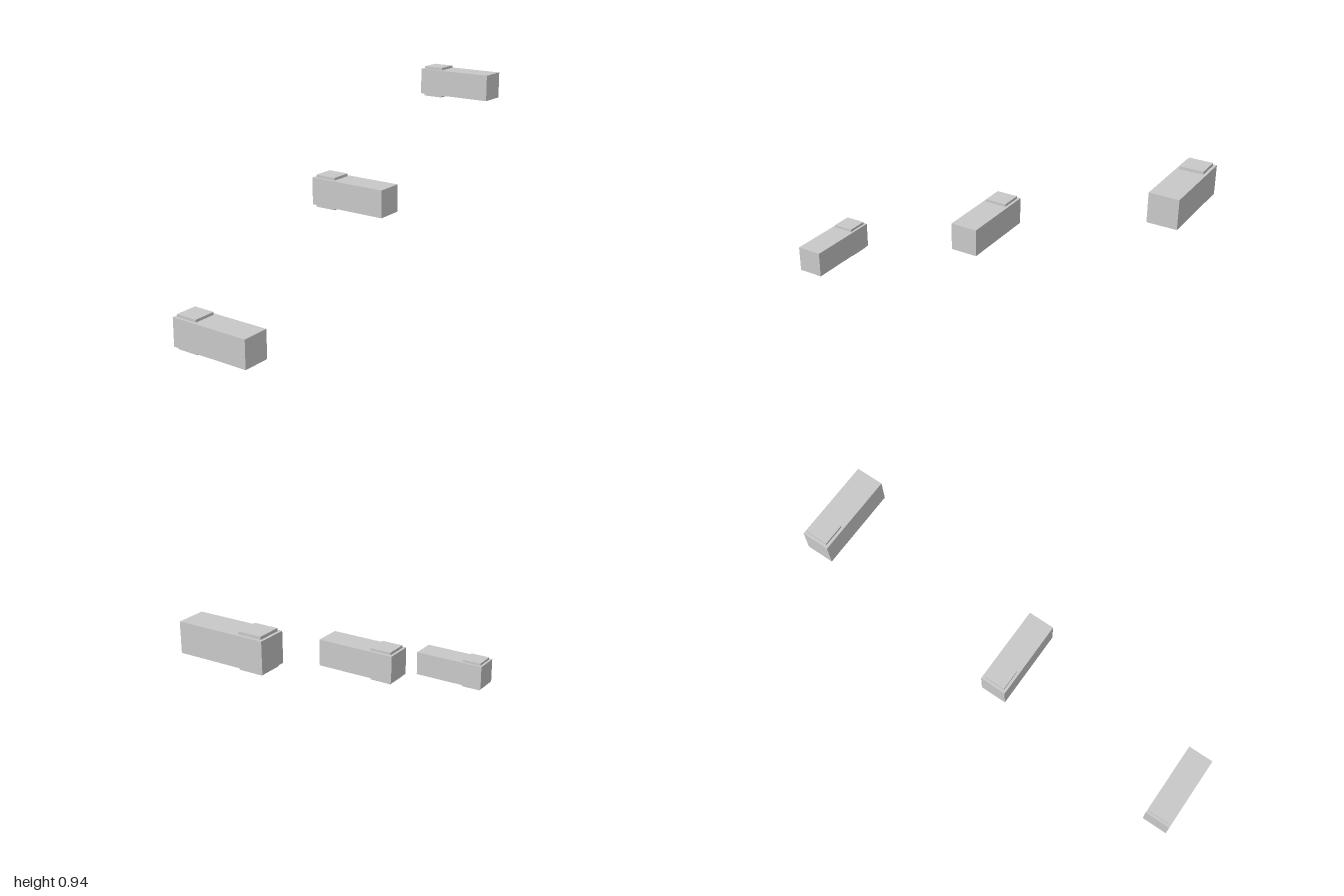
import * as THREE from 'three';

const material = new THREE.MeshStandardMaterial({ color: 0xcccccc, flatShading: true });

function box(name, w, h, d, x, y, z) {
  const mesh = new THREE.Mesh(new THREE.BoxGeometry(w, h, d), material);
  mesh.name = name;
  mesh.position.set(x, y, z);
  return mesh;
}

// One long block with a thin square pad above and below its rear end
function createBlock(name) {
  const block = new THREE.Group();
  block.name = name;
  const height = 0.13, padHeight = 0.0125;
  block.add(box('body', 0.13, height, 0.39, 0, 0, 0));
  for (const side of [1, -1]) {
    const y = side * (height + padHeight) / 2;
    block.add(box(side > 0 ? 'topPad' : 'bottomPad', 0.105, padHeight, 0.105, 0, y, -0.13));
  }
  return block;
}

export function createModel() {
  const model = new THREE.Group();
  model.name = 'steppedBlocks';

  // Three equal blocks rising from right to left
  ['lowBlock', 'middleBlock', 'highBlock'].forEach((name, i) => {
    const block = createBlock(name);
    block.position.set((i - 1) * 0.935, 0.0775 + i * 0.39, 0);
    model.add(block);
  });
  return model;
}
